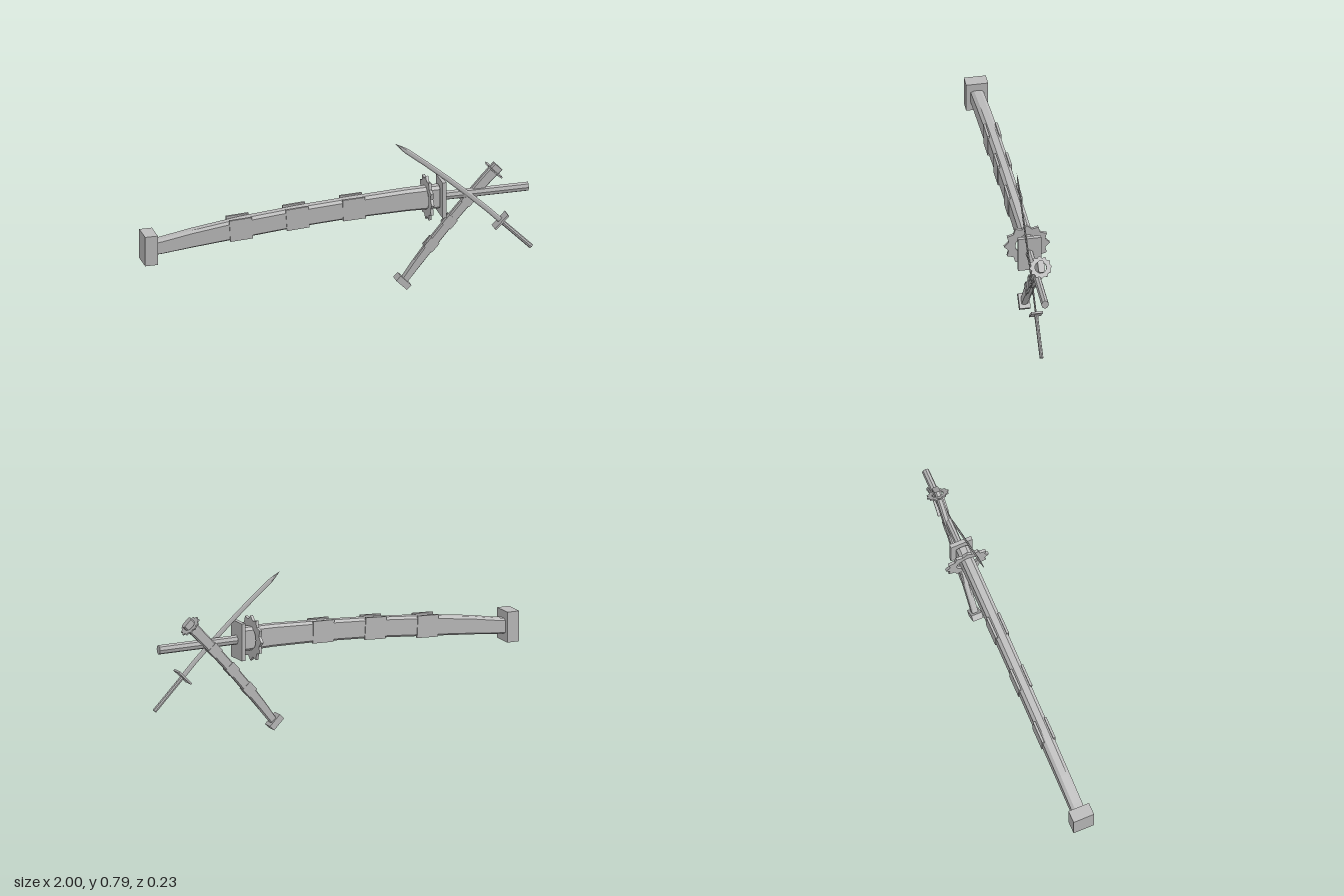
import * as THREE from 'three';

const steel = new THREE.MeshStandardMaterial({ color: 0xbcbcbc, flatShading: true });
steel.name = 'grey steel';

function add(parent, name, geometry, x = 0, y = 0, z = 0) {
  const mesh = new THREE.Mesh(geometry, steel);
  mesh.name = name;
  mesh.position.set(x, y, z);
  parent.add(mesh);
  return mesh;
}

// Skin a unit cross-section [y, z], ordered top -> front -> bottom -> back,
// along stations [x, centreY, halfHeight, halfWidth] with x rising
function loft(section, stations) {
  const n = section.length, pos = [], index = [];
  for (const [x, c, h, w] of stations)
    for (const [y, z] of section) pos.push(x, c + y * h, z * w);
  for (let s = 0; s < stations.length - 1; s++)
    for (let i = 0; i < n; i++) {
      const a = s * n + i, b = s * n + (i + 1) % n;
      index.push(a, b, b + n, a, b + n, a + n);
    }
  const last = (stations.length - 1) * n;
  for (let i = 1; i < n - 1; i++) {
    index.push(0, i + 1, i);
    index.push(last, last + i, last + i + 1);
  }
  const g = new THREE.BufferGeometry();
  g.setAttribute('position', new THREE.Float32BufferAttribute(pos, 3));
  g.setIndex(index);
  const flat = g.toNonIndexed();
  flat.computeVertexNormals();
  return flat;
}

// Centreline of sheath and blade: [x, centreY, halfHeight]
const spine = [
  [-0.97, 0.372, 0.037], [-0.9, 0.379, 0.04], [-0.75, 0.4, 0.046], [-0.5, 0.428, 0.052],
  [-0.2, 0.454, 0.052], [0.08, 0.47, 0.053], [0.35, 0.479, 0.057], [0.52, 0.478, 0.06],
];

// Twelve-pointed toothed ring with an open middle
function toothedRing() {
  const shape = new THREE.Shape();
  for (let i = 0; i < 24; i++) {
    const r = i % 2 ? 0.095 : 0.115, a = (i * Math.PI) / 12;
    if (i) shape.lineTo(r * Math.cos(a), r * Math.sin(a));
    else shape.moveTo(r, 0);
  }
  shape.holes.push(new THREE.Path().absarc(0, 0, 0.058, 0, Math.PI * 2, true));
  const g = new THREE.ExtrudeGeometry(shape, { depth: 0.014, bevelEnabled: false, curveSegments: 8 });
  return g.translate(0, 0, -0.007).rotateY(Math.PI / 2);
}

function makeSheath(name) {
  const g = new THREE.Group();
  g.name = name;
  const octagon = [[1, 0.5], [0.78, 1], [-0.78, 1], [-1, 0.5], [-1, -0.5], [-0.78, -1], [0.78, -1], [1, -0.5]];
  add(g, 'sheathBody', loft(octagon, spine.map(([x, c, h]) => [x, c, h, 0.032])));
  add(g, 'endCap', new THREE.BoxGeometry(0.065, 0.155, 0.11), -0.967, 0.376);
  // side plates along the sheath
  for (const [x, y, tilt] of [[-0.502, 0.429, 0.05], [-0.212, 0.454, 0.06], [0.078, 0.471, 0.03]])
    for (const side of [-1, 1])
      add(g, 'sidePlate', new THREE.BoxGeometry(0.115, 0.112, 0.012), x, y, side * 0.03).rotation.z = tilt;
  add(g, 'toothedRing', toothedRing(), 0.46, 0.477);
  return g;
}

function makeHilt(parent) {
  add(parent, 'guard', new THREE.BoxGeometry(0.02, 0.19, 0.116), 0.535, 0.475);
  const grip = new THREE.CylinderGeometry(0.024, 0.024, 0.445, 8).rotateZ(Math.PI / 2);
  add(parent, 'grip', grip.scale(1, 1, 0.78), 0.756, 0.477);
}

// Place a half-size group so that local point (px, py) lands on (x, y)
function placeHalf(group, angle, px, py, x, y, z) {
  const c = Math.cos(angle) * 0.5, s = Math.sin(angle) * 0.5;
  group.scale.setScalar(0.5);
  group.rotation.z = angle;
  group.position.set(x - (px * c - py * s), y - (px * s + py * c), z);
}

export function createModel() {
  const model = new THREE.Group();
  model.name = 'swordSet';

  // long sword in its sheath
  const longSword = new THREE.Group();
  longSword.name = 'sheathedLongSword';
  longSword.add(makeSheath('longSheath'));
  makeHilt(longSword);
  model.add(longSword);

  // empty short sheath
  const shortSheath = makeSheath('shortSheath');
  placeHalf(shortSheath, Math.PI / 4, -0.967, 0.376, 0.337, 0.039, -0.008);
  model.add(shortSheath);

  // drawn short sword with a thin curved blade
  const shortSword = new THREE.Group();
  shortSword.name = 'drawnShortSword';
  makeHilt(shortSword);
  const bladeSection = [[1, 0], [0.5, 1], [-0.5, 1], [-1, 0], [-0.5, -1], [0.5, -1]];
  const stations = spine.slice(2).map(([x, c]) => [x, c, 0.027, 0.007]);
  stations.unshift([-0.893, 0.383, 0.001, 0.001], [-0.82, 0.392, 0.017, 0.006]);
  stations.push([0.533, 0.477, 0.027, 0.007]);
  add(shortSword, 'blade', loft(bladeSection, stations));
  placeHalf(shortSword, -Math.PI / 4, 0.535, 0.477, 0.833, 0.318, 0.02);
  model.add(shortSword);

  return model;
}
